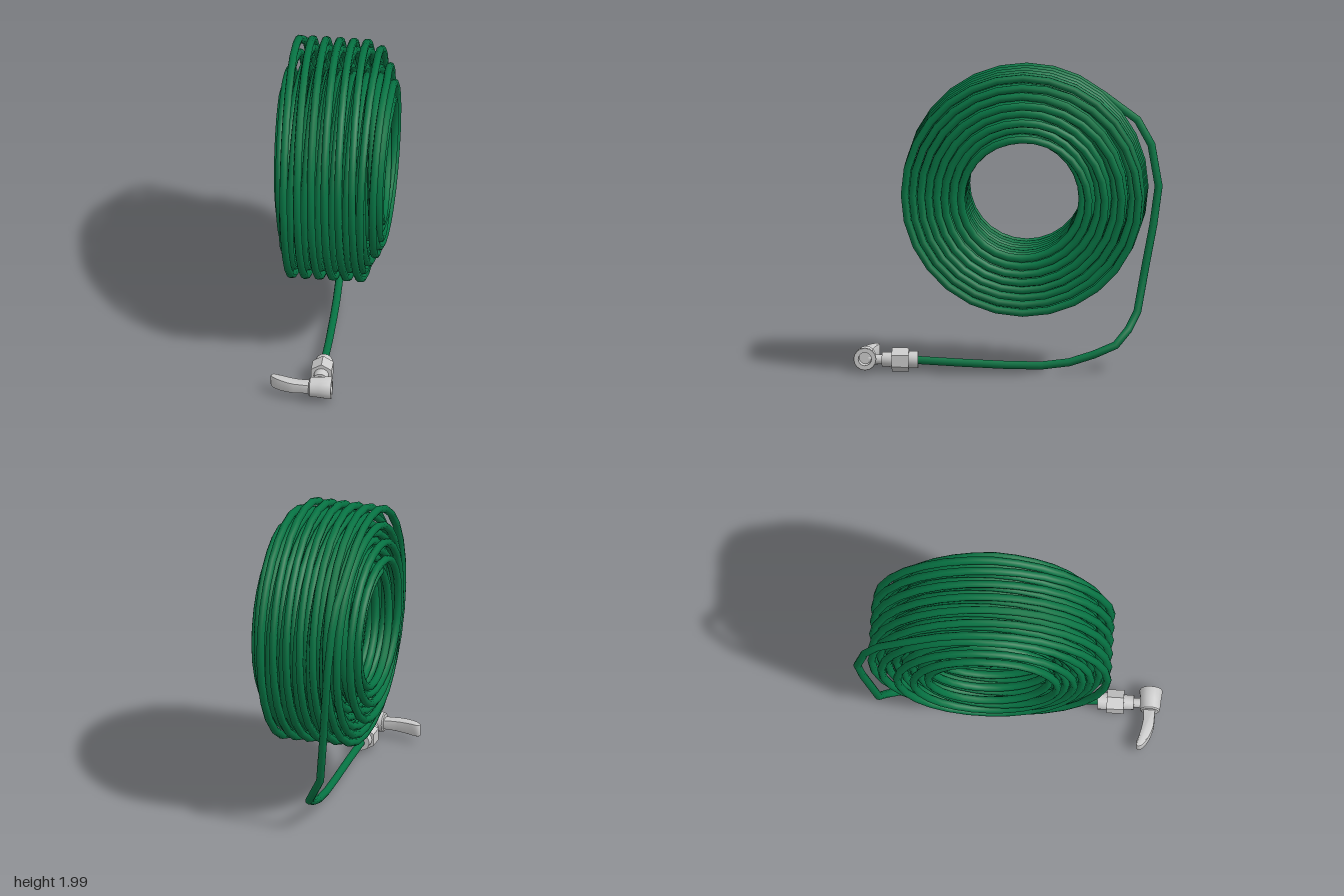
import * as THREE from 'three';
import { toCreasedNormals } from 'three/addons/utils/BufferGeometryUtils.js';

const green = new THREE.MeshStandardMaterial({ color: 0x067343 });
const grey = new THREE.MeshStandardMaterial({ color: 0xcccccc });

const CY = 1.205, CZ = -0.11; // centre of the coil
const SEG = 28;               // straight steps per turn
const TUBE = 0.026;

function mesh(name, geometry, material, parent) {
  const m = new THREE.Mesh(geometry, material);
  m.name = name;
  parent.add(m);
  return m;
}

// Point on the coil: angle runs from the top towards the back
function coilPoint(x, r, angle) {
  return new THREE.Vector3(x, CY + r * Math.cos(angle), CZ - r * Math.sin(angle));
}

// Eight wound layers, from the inside out, each crossing the coil the other way
function hosePoints() {
  const starts = [-0.345, 0.355, -0.35, 0.355, -0.33, 0.33, -0.29, 0.258, -0.28];
  const bulges = [0, 0, 0.02, 0.005, 0.025, -0.03, 0, 0];
  const turns = [8, 8, 8, 8, 7, 7, 6, 6];
  const step = 0.0535, inner = 0.394;
  const pts = [];
  turns.forEach((count, k) => {
    const n = count * SEG;
    for (let i = 0; i < n; i++) {
      // climb from the layer below and bow sideways during the first turn
      const climb = k ? THREE.MathUtils.smoothstep(i, -2, SEG * 0.4) : 1;
      const bulge = Math.sign(starts[k]) * bulges[k] * Math.sin(Math.PI * Math.min(1, i / SEG));
      const x = THREE.MathUtils.lerp(starts[k], starts[k + 1], i / n) + bulge;
      pts.push(coilPoint(x, inner + step * (k - 1 + climb), (i / SEG) * Math.PI * 2));
    }
  });
  // leave the coil over the top, drop behind it and run forward on the ground
  for (let i = 0; i < 3; i++) pts.push(coilPoint(-0.28, 0.768, (i / SEG) * Math.PI * 2));
  const tail = [
    [-0.277, 1.79, -0.61], [-0.272, 1.63, -0.83], [-0.265, 1.47, -0.92],
    [-0.25, 1.2, -0.968], [-0.225, 0.95, -0.935], [-0.195, 0.68, -0.885],
    [-0.16, 0.39, -0.835], [-0.1, 0.28, -0.78], [-0.045, 0.185, -0.7],
    [-0.03, 0.125, -0.56], [-0.015, 0.075, -0.4], [-0.01, 0.053, -0.22],
    [-0.005, 0.055, 0], [0, 0.068, 0.3], [0, 0.085, 0.62],
  ];
  tail.forEach((p) => pts.push(new THREE.Vector3(...p)));
  return pts;
}

function buildHose(parent) {
  const pts = hosePoints();
  const curve = new THREE.CatmullRomCurve3(pts);
  // one tube ring on every path point
  curve.getPointAt = (t, target) => curve.getPoint(t, target);
  curve.getTangentAt = (t, target) => curve.getTangent(t, target);
  mesh('hose', new THREE.TubeGeometry(curve, pts.length - 1, TUBE, 8, false), green, parent);
  const cap = mesh('hoseInnerEnd', new THREE.SphereGeometry(TUBE, 8, 6), green, parent);
  cap.position.copy(pts[0]);
}

// Cylinder lying along z, from z0 to z1
function rod(name, r0, r1, z0, z1, sides, parent) {
  const g = new THREE.CylinderGeometry(r1, r0, z1 - z0, sides).rotateX(Math.PI / 2);
  const m = mesh(name, toCreasedNormals(g, 0.6), grey, parent);
  m.position.set(0, 0.085, (z0 + z1) / 2);
}

function buildFitting(parent) {
  const fitting = new THREE.Group();
  fitting.name = 'fitting';
  parent.add(fitting);

  rod('hoseSleeve', 0.056, 0.056, 0.58, 0.66, 16, fitting);
  rod('couplingNut', 0.078, 0.078, 0.64, 0.75, 6, fitting);
  rod('couplingNeck', 0.049, 0.047, 0.745, 0.815, 16, fitting);
  rod('stem', 0.03, 0.036, 0.8, 0.9, 12, fitting);

  // tapered valve body across the stem, with a bore in its +x end
  const profile = [
    [0, -0.06], [0.056, -0.06], [0.064, -0.052], [0.068, 0.01], [0.075, 0.08],
    [0.072, 0.088], [0.043, 0.088], [0.04, 0.03], [0, 0.03],
  ].map(([r, h]) => new THREE.Vector2(r, h));
  const body = new THREE.LatheGeometry(profile, 16).rotateZ(-Math.PI / 2);
  mesh('valveBody', toCreasedNormals(body, 0.6), grey, fitting).position.set(0, 0.1, 0.922);

  // curved lever: outline in plan (x, z), wider towards its tip
  const s = new THREE.Shape();
  s.moveTo(-0.04, 0.885);
  s.lineTo(-0.13, 0.888);
  s.quadraticCurveTo(-0.21, 0.88, -0.285, 0.852);
  s.quadraticCurveTo(-0.325, 0.848, -0.302, 0.882);
  s.quadraticCurveTo(-0.25, 0.93, -0.16, 0.947);
  s.lineTo(-0.04, 0.95);
  s.closePath();
  const lever = new THREE.ExtrudeGeometry(s, {
    depth: 0.048, bevelEnabled: true, bevelThickness: 0.008, bevelSize: 0.007, bevelSegments: 2, curveSegments: 6,
  });
  lever.translate(0, 0, -0.024).rotateX(Math.PI / 2);
  const p = lever.attributes.position;
  for (let i = 0; i < p.count; i++) {
    const t = THREE.MathUtils.clamp((-p.getX(i) - 0.06) / 0.2, 0, 1);
    p.setY(i, p.getY(i) * (0.95 + 0.33 * t));
  }
  mesh('lever', toCreasedNormals(lever, 0.7), grey, fitting).position.y = 0.097;
}

export function createModel() {
  const model = new THREE.Group();
  model.name = 'coiledHose';
  buildHose(model);
  buildFitting(model);
  return model;
}
